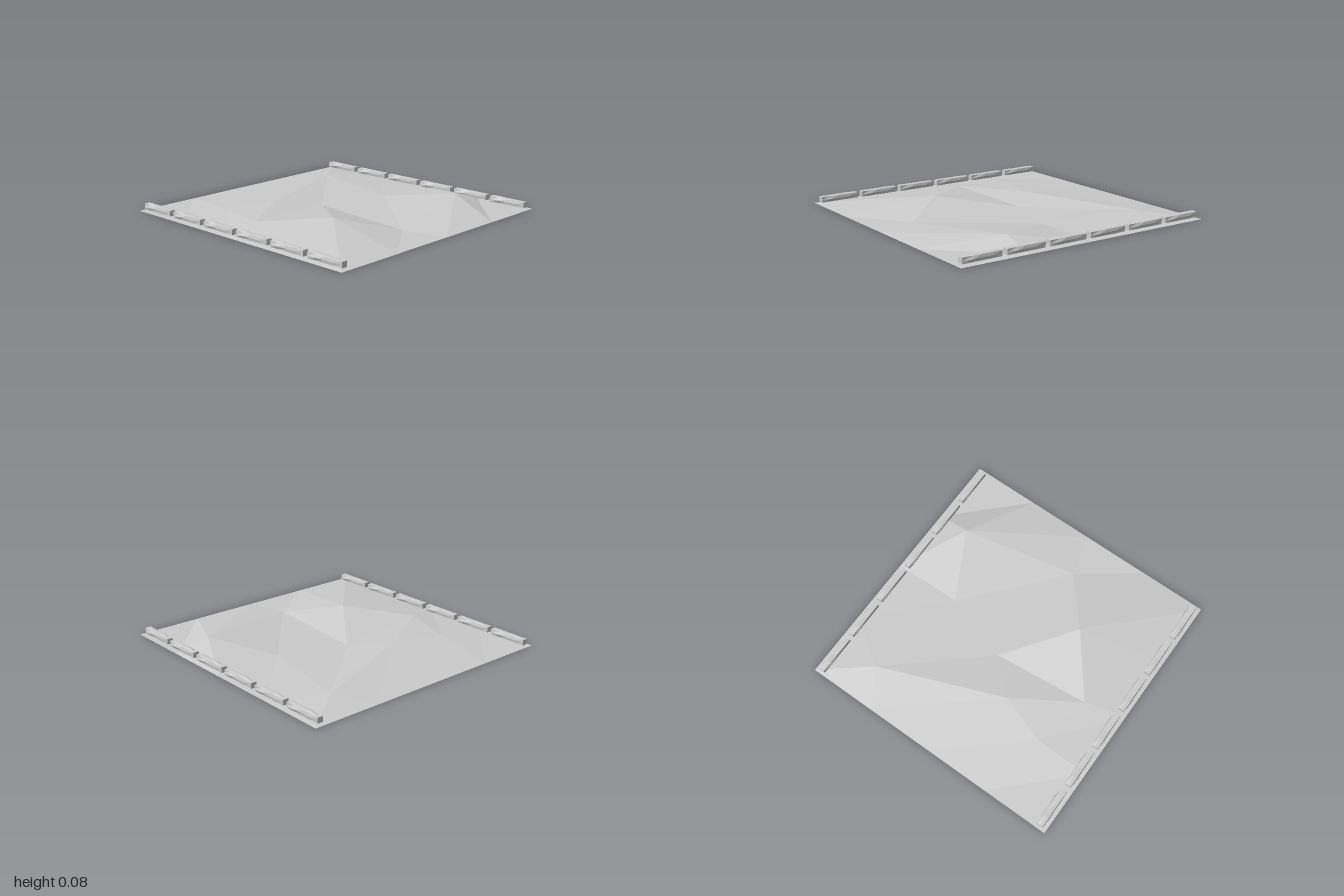
import * as THREE from 'three';

const GREY = { color: 0xcccccc, flatShading: true };

// Interior ground points [x, height, z], row by row from back to front
const HILLS = [
  [[-0.6, 0.03, -0.5], [-0.25, 0.045, -0.38], [0.65, 0.03, -0.73]],
  [[-0.71, 0.038, -0.09], [0, 0.006, -0.15], [0.5, 0.012, 0.01]],
  [[-0.38, 0.083, 0.33], [-0.08, 0.002, 0.69], [0.75, 0.072, 0.49]],
];

// Faceted ground sheet: a 4 x 4 grid with a flat border and shifted inner points
function makeGround() {
  const geo = new THREE.PlaneGeometry(2, 2, 4, 4).rotateX(-Math.PI / 2);
  const pos = geo.attributes.position;
  HILLS.forEach((row, r) => row.forEach((p, c) => {
    pos.setXYZ((r + 1) * 5 + c + 1, ...p);
  }));
  geo.computeVertexNormals();
  const ground = new THREE.Mesh(geo, new THREE.MeshStandardMaterial({ ...GREY, side: THREE.DoubleSide }));
  ground.name = 'ground';
  return ground;
}

// Rough-hewn log: square ends and straight edges, faces bulging along the middle
function makeLogGeometry() {
  const W = 0.044, H = 0.04, L = 0.295;
  const geo = new THREE.BoxGeometry(W, H, L, 2, 2, 4);
  const pos = geo.attributes.position;
  for (let i = 0; i < pos.count; i++) {
    const x = pos.getX(i), y = pos.getY(i), t = pos.getZ(i) / L;
    if (Math.abs(t) > 0.49) continue;
    if (Math.abs(y) < 0.001) {
      const side = Math.sign(x);
      pos.setX(i, x + side * (t * side > 0.1 ? 0.01 : 0.004));
    }
    if (Math.abs(x) < 0.001) {
      const face = Math.sign(y);
      pos.setY(i, y + face * (t * face < -0.1 ? 0.007 : 0.003));
    }
  }
  geo.computeVertexNormals();
  return geo;
}

export function createModel() {
  const model = new THREE.Group();
  model.name = 'borderedGround';
  model.add(makeGround());

  // A row of six logs along each side
  const logGeo = makeLogGeometry();
  const logMat = new THREE.MeshStandardMaterial(GREY);
  for (const side of [-1, 1]) {
    const row = new THREE.Group();
    row.name = side > 0 ? 'leftLogs' : 'rightLogs';
    for (let i = 0; i < 6; i++) {
      const log = new THREE.Mesh(logGeo, logMat);
      log.name = 'log' + (i + 1);
      log.position.set(side * 0.946, 0.032, (i - 2.5) * 0.331 - 0.003);
      row.add(log);
    }
    model.add(row);
  }
  return model;
}
